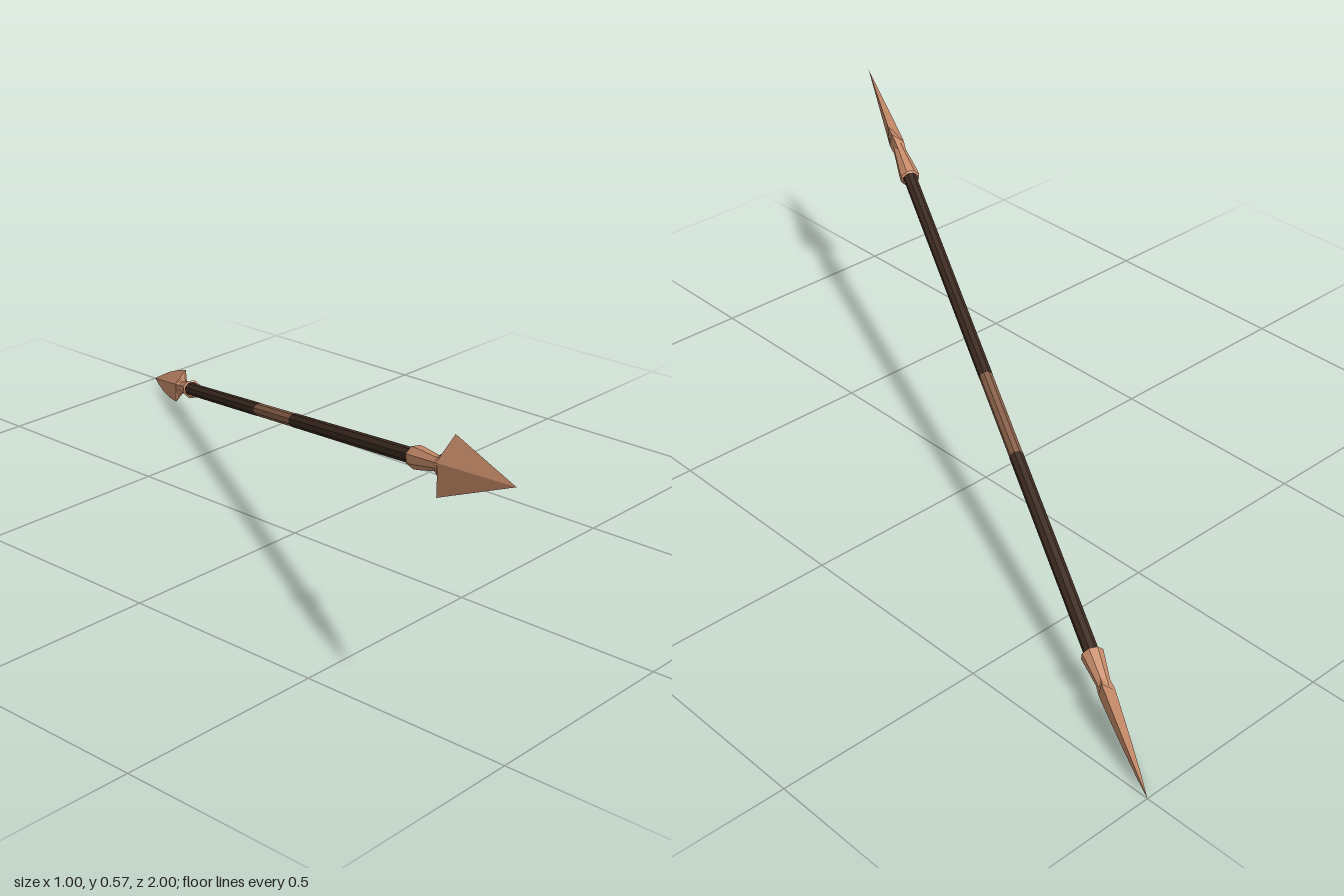
import * as THREE from 'three';

const TIP = new THREE.Vector3(-0.5, 0.57, 1);
const BUTT = new THREE.Vector3(0.5, 0, -1);
const HALF = TIP.distanceTo(BUTT) / 2;

// Give every face its own flat normal
function facet(geometry) {
  const g = geometry.index ? geometry.toNonIndexed() : geometry;
  g.computeVertexNormals();
  return g;
}

// Diamond-section blade; stations are [distance from tip, half width, half thickness]
function bladeGeometry(stations) {
  const pos = [], index = [];
  stations.forEach(([s, h, t], i) => {
    const y = HALF - s;
    pos.push(h, y, 0, 0, y, t, -h, y, 0, 0, y, -t);
    if (i === 0) return;
    for (let k = 0; k < 4; k++) {
      const a = (i - 1) * 4 + k, b = (i - 1) * 4 + (k + 1) % 4;
      if (i > 1) index.push(a, b, a + 4);
      index.push(b, b + 4, a + 4);
    }
  });
  const g = new THREE.BufferGeometry();
  g.setAttribute('position', new THREE.Float32BufferAttribute(pos, 3));
  g.setIndex(index);
  return facet(g);
}

// Hollow flared socket; profile is [radius, distance from tip], open end first
function socketGeometry(profile) {
  const pts = profile.map(([r, s]) => new THREE.Vector2(r, HALF - s));
  return facet(new THREE.LatheGeometry(pts, 8));
}

export function createModel() {
  const copper = new THREE.MeshStandardMaterial({ color: 0xc98d6b, side: THREE.DoubleSide });
  copper.name = 'copper';
  const darkWood = new THREE.MeshStandardMaterial({ color: 0x3d2b21 });
  darkWood.name = 'darkWood';
  const leather = new THREE.MeshStandardMaterial({ color: 0x875f48 });
  leather.name = 'leather';

  const model = new THREE.Group();
  model.name = 'spear';

  const add = (parent, name, geometry, material) => {
    const mesh = new THREE.Mesh(geometry, material);
    mesh.name = name;
    parent.add(mesh);
    return mesh;
  };

  // Rod pieces along the spear's own y axis
  const rod = (name, y0, y1, radius, material) => {
    const g = facet(new THREE.CylinderGeometry(radius, radius, y1 - y0, 8));
    add(model, name, g, material).position.y = (y0 + y1) / 2;
  };
  rod('upperShaft', 0, HALF - 0.40, 0.0165, darkWood);
  rod('grip', -0.25, 0, 0.016, leather);
  rod('lowerShaft', -HALF + 0.31, -0.25, 0.0165, darkWood);

  // Large barbed head
  const head = new THREE.Group();
  head.name = 'spearHead';
  model.add(head);
  add(head, 'headBlade', bladeGeometry([
    [0, 0, 0], [0.306, 0.064, 0.019], [0.315, 0.039, 0.0185],
    [0.328, 0.025, 0.0175], [0.352, 0.015, 0.015],
  ]), copper);
  add(head, 'headSocket', socketGeometry([
    [0.018, 0.44], [0.02, 0.452], [0.025, 0.448], [0.024, 0.425], [0.016, 0.345], [0.013, 0.3],
  ]), copper);

  // Smaller leaf-shaped butt spike, turned to the other end
  const butt = new THREE.Group();
  butt.name = 'buttSpike';
  butt.rotation.z = Math.PI;
  model.add(butt);
  add(butt, 'buttBlade', bladeGeometry([
    [0, 0, 0], [0.05, 0.014, 0.005], [0.115, 0.029, 0.01], [0.18, 0.039, 0.014],
    [0.25, 0.045, 0.018], [0.256, 0.03, 0.018], [0.268, 0.021, 0.017], [0.285, 0.015, 0.015],
  ]), copper);
  add(butt, 'buttSocket', socketGeometry([
    [0.018, 0.335], [0.02, 0.354], [0.025, 0.351], [0.023, 0.335], [0.016, 0.28], [0.013, 0.25],
  ]), copper);

  // Lean the spear into its diagonal pose
  const along = TIP.clone().sub(BUTT).normalize();
  const normal = along.clone().negate().cross(new THREE.Vector3(0.444, 0.896, 0)).normalize();
  const across = along.clone().cross(normal);
  model.quaternion.setFromRotationMatrix(new THREE.Matrix4().makeBasis(across, along, normal));
  model.position.copy(TIP).add(BUTT).multiplyScalar(0.5);

  const root = new THREE.Group();
  root.name = 'model';
  root.add(model);
  return root;
}
